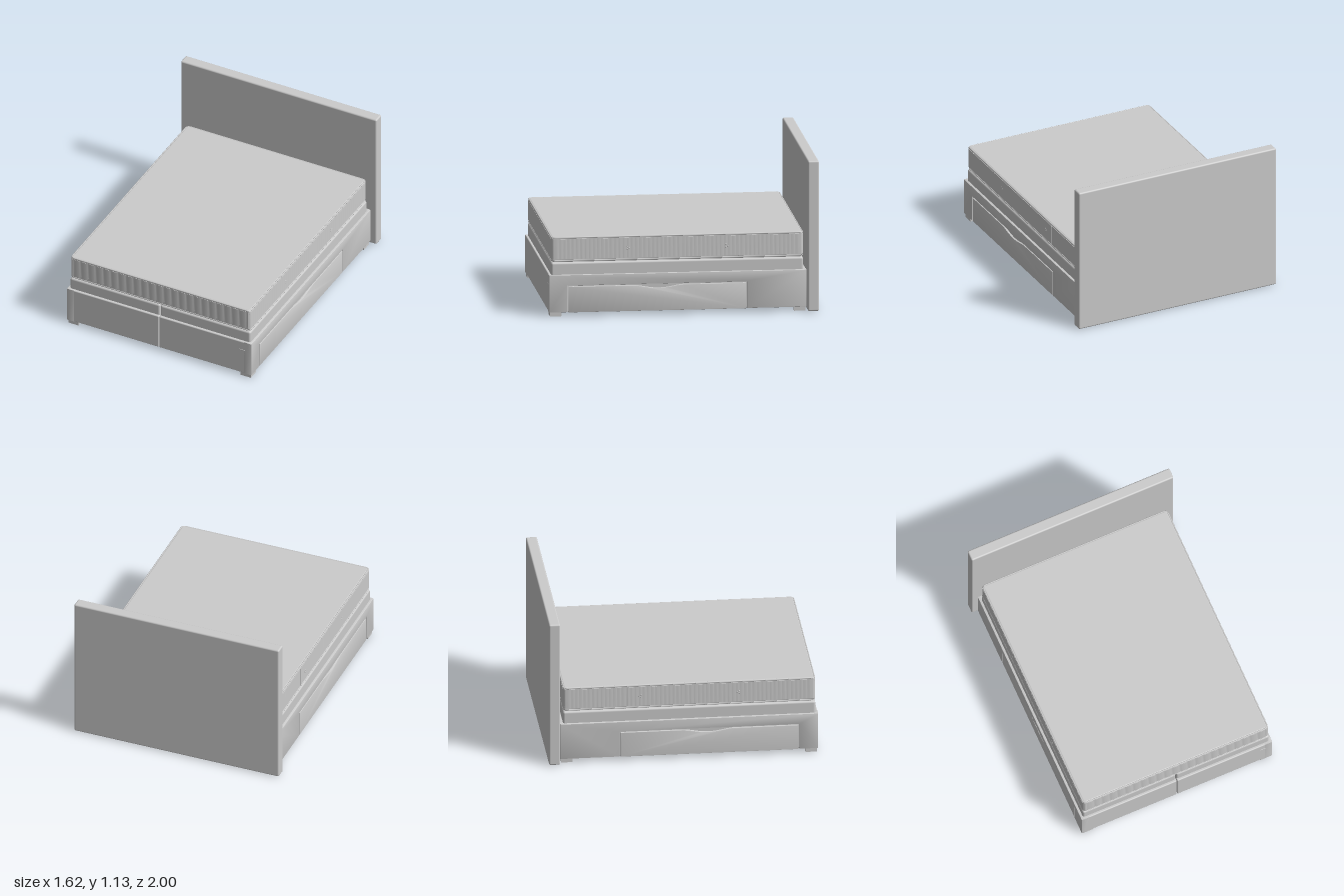
import * as THREE from 'three';
import { RoundedBoxGeometry } from 'three/addons/geometries/RoundedBoxGeometry.js';
import { toCreasedNormals } from 'three/addons/utils/BufferGeometryUtils.js';

const material = new THREE.MeshStandardMaterial({ color: 0xcccccc });

export function createModel() {
  const bed = new THREE.Group();
  bed.name = 'bed';

  const add = (name, geometry) => {
    const mesh = new THREE.Mesh(geometry, material);
    mesh.name = name;
    bed.add(mesh);
    return mesh;
  };

  // Box with soft edges given by its extents
  const softBox = (name, x0, x1, y0, y1, z0, z1, r) => {
    const mesh = add(name, new RoundedBoxGeometry(x1 - x0, y1 - y0, z1 - z0, 3, r));
    mesh.position.set((x0 + x1) / 2, (y0 + y1) / 2, (z0 + z1) / 2);
    return mesh;
  };

  // Side profile (drawn with z to the right, y up) extruded between two x values, with a small bevel
  const sidePanel = (name, points, x0, x1, side, bevel) => {
    const geometry = new THREE.ExtrudeGeometry(new THREE.Shape(points), {
      depth: x1 - x0 - 2 * bevel, bevelThickness: bevel, bevelSize: bevel,
      bevelOffset: -bevel, bevelSegments: 2,
    });
    geometry.rotateY(-Math.PI / 2); // shape x becomes z, depth runs to -x
    geometry.translate(side > 0 ? x1 - bevel : -x0 - bevel, 0, 0);
    add(name, toCreasedNormals(geometry, 0.6));
  };
  const v = (x, y) => new THREE.Vector2(x, y);

  // Headboard
  softBox('headboard', -0.812, 0.812, 0.004, 1.133, -1, -0.917, 0.012);

  // Drawer front, with a shallow finger dip in its top edge
  const drawerProfile = [v(-0.464, 0.028), v(0.854, 0.028), v(0.854, 0.222)];
  for (let i = 0; i <= 16; i++) {
    const t = i / 16;
    drawerProfile.push(v(0.37 - 0.37 * t, 0.222 - 0.024 * Math.sin(Math.PI * t) ** 1.5));
  }
  drawerProfile.push(v(-0.464, 0.222));

  // Side frame that surrounds the drawer
  const frameProfile = [
    v(-0.912, 0.03), v(-0.472, 0.03), v(-0.472, 0.23), v(0.862, 0.23),
    v(0.862, 0.03), v(0.998, 0.03), v(0.998, 0.31), v(-0.912, 0.31),
  ];

  // Corner foot: a block with its inner corner cut off
  const footShape = new THREE.Shape([v(0, 0), v(0.085, 0), v(0.085, 0.025), v(0.025, 0.085), v(0, 0.085)]);
  const footGeometry = new THREE.ExtrudeGeometry(footShape, { depth: 0.035, bevelEnabled: false });
  footGeometry.rotateX(-Math.PI / 2); // x inward, -z inward

  for (const side of [-1, 1]) {
    const name = side > 0 ? 'left' : 'right';
    const span = (a, b) => (side > 0 ? [a, b] : [-b, -a]);
    softBox(name + 'Base', ...span(0.002, 0.75), 0.03, 0.31, -0.912, 0.998, 0.008);
    softBox(name + 'BoxSpring', ...span(0.002, 0.748), 0.29, 0.402, -0.89, 0.98, 0.016);
    sidePanel(name + 'SideFrame', frameProfile, 0.7, 0.767, side, 0.006);
    sidePanel(name + 'Drawer', drawerProfile, 0.72, 0.765, side, 0.004);
    // Feet turned so that the square corner points outward
    for (const [z, end] of [[0.99, 1], [-0.905, -1]]) {
      const foot = add(name + (end > 0 ? 'FrontFoot' : 'BackFoot'), footGeometry);
      foot.position.set(side * 0.757, 0, z);
      foot.rotation.y = side > 0 ? (end > 0 ? Math.PI / 2 : Math.PI) : (end > 0 ? 0 : -Math.PI / 2);
    }
  }

  // Small tab on the foot end
  softBox('tab', 0.665, 0.715, 0.23, 0.241, 0.99, 1, 0.004);

  // Mattress core, then top and bottom borders
  const back = -0.89, front = 0.98, midZ = (front + back) / 2, halfX = 0.747, halfZ = (front - back) / 2;
  softBox('mattressCore', -0.73, 0.73, 0.395, 0.58, back + 0.016, front - 0.016, 0.01);
  softBox('mattressTop', -0.743, 0.743, 0.55, 0.592, back + 0.003, front - 0.003, 0.014);
  softBox('mattressBottom', -0.743, 0.743, 0.41, 0.452, back + 0.003, front - 0.003, 0.014);

  // Quilted side band: an outline of shallow scallops with rounded corners
  const outline = new THREE.Shape();
  const inset = 0.027;
  const bandPoints = [];
  const scallops = (ax, ay, bx, by, nx, ny, count, depth) => {
    for (let i = 0; i <= count * 6; i++) {
      const t = i / (count * 6);
      const d = depth * (1 - Math.abs(Math.sin(Math.PI * t * count)) ** 0.5);
      bandPoints.push(v(ax + (bx - ax) * t - nx * d, ay + (by - ay) * t - ny * d));
    }
  };
  const corner = (cx, cy, start) => {
    for (let i = 1; i < 6; i++) {
      const a = start + (i / 6) * Math.PI / 2;
      bandPoints.push(v(cx + inset * Math.cos(a), cy + inset * Math.sin(a)));
    }
  };
  const ix = halfX - inset, iz = halfZ - inset;
  scallops(halfX, -iz, halfX, iz, 1, 0, 58, 0.0015);
  corner(ix, iz, 0);
  scallops(ix, halfZ, -ix, halfZ, 0, 1, 23, 0.004);
  corner(-ix, iz, Math.PI / 2);
  scallops(-halfX, iz, -halfX, -iz, -1, 0, 58, 0.0015);
  corner(-ix, -iz, Math.PI);
  scallops(-ix, -halfZ, ix, -halfZ, 0, -1, 23, 0.004);
  corner(ix, -iz, Math.PI * 1.5);
  outline.setFromPoints(bandPoints);
  const band = new THREE.ExtrudeGeometry(outline, { depth: 0.15, bevelEnabled: false });
  band.rotateX(-Math.PI / 2);
  band.translate(0, 0.426, midZ);
  add('mattressBand', toCreasedNormals(band, 0.7));

  // Piping around the top and bottom edges
  const pipeX = halfX - 0.006, pipeZ = halfZ - 0.006, pipePoints = [];
  for (const [sx, sz, start] of [[1, 1, 0], [-1, 1, 1], [-1, -1, 2], [1, -1, 3]]) {
    for (let i = 0; i <= 4; i++) {
      const a = (start + i / 4) * Math.PI / 2;
      pipePoints.push(new THREE.Vector3(
        sx * (pipeX - 0.025) + 0.025 * Math.cos(a), 0, sz * (pipeZ - 0.025) + 0.025 * Math.sin(a)));
    }
  }
  const pipePath = new THREE.CurvePath();
  pipePoints.forEach((p, i) => pipePath.add(new THREE.LineCurve3(p, pipePoints[(i + 1) % pipePoints.length])));
  const pipe = new THREE.TubeGeometry(pipePath, 500, 0.006, 8, true);
  for (const [name, y] of [['topPiping', 0.586], ['bottomPiping', 0.414]]) {
    add(name, pipe).position.set(0, y, midZ);
  }

  // Side seams and air vents on the mattress
  const ventGeometry = new THREE.SphereGeometry(0.006, 10, 8);
  for (const side of [-1, 1]) {
    softBox('sideSeam', side * 0.747 - 0.002, side * 0.747 + 0.002, 0.425, 0.577, -0.412, -0.408, 0.001);
    for (const z of [0.41, -0.32]) {
      for (const [dy, dz] of [[0.01, 0.006], [-0.008, 0.006], [0, -0.008]]) {
        const vent = add('airVent', ventGeometry);
        vent.position.set(side * 0.747, 0.5 + dy, z + dz);
        vent.scale.x = 0.4;
      }
    }
  }
  return bed;
}
